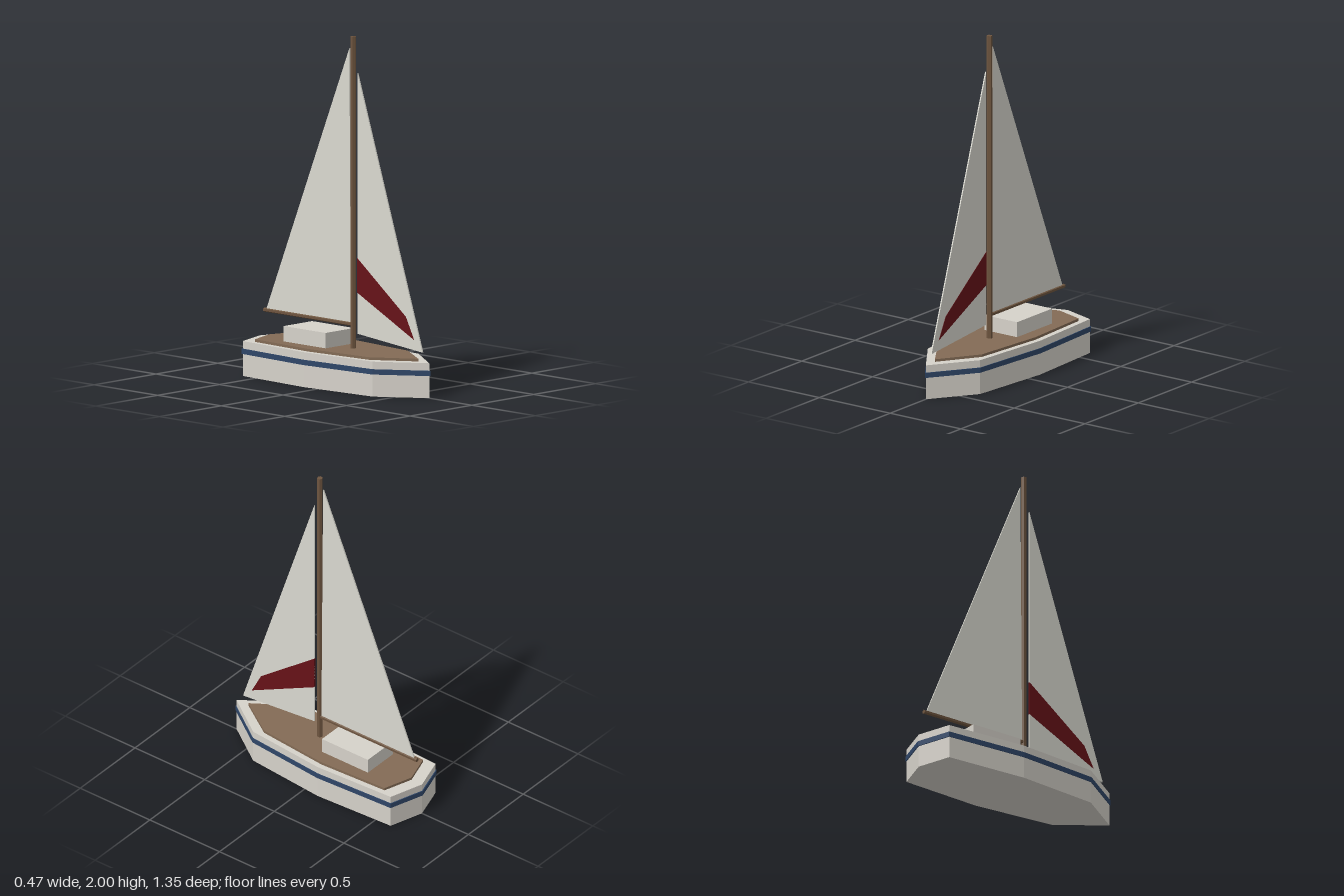
import * as THREE from 'three';

const material = (color) => new THREE.MeshStandardMaterial({ color, flatShading: true });
const hullWhite = material(0xd6d2ca);
const navy = material(0x2f4668);
const deckBrown = material(0x836b55);
const sparBrown = material(0x6e553f);
const sailWhite = material(0xdad9d0);
const darkRed = material(0x661218);

const polygon = (points) => new THREE.Shape(points.map(([a, b]) => new THREE.Vector2(a, b)));
const extrude = (points, depth) =>
  new THREE.ExtrudeGeometry(polygon(points), { depth, bevelEnabled: false });

// Horizontal slab from a mirrored half outline of [x, z], bow first and stern last
function slab(half, bottom, top) {
  const mirrored = half.slice(1, -1).reverse().map(([x, z]) => [-x, z]);
  const outline = [...half, ...mirrored].map(([x, z]) => [x, -z]);
  return extrude(outline, top - bottom).rotateX(-Math.PI / 2).translate(0, bottom, 0);
}

// Upright sheet from [z, y] points, centred on x = 0
function sheet(points, thickness) {
  return extrude(points, thickness).rotateY(-Math.PI / 2).translate(thickness / 2, 0, 0);
}

export function createModel() {
  const group = new THREE.Group();
  const add = (name, geometry, mat) => {
    const mesh = new THREE.Mesh(geometry, mat);
    mesh.name = name;
    group.add(mesh);
    return mesh;
  };

  // Hull, stripe and deck
  const hull = [[0, 0.665], [0.185, 0.4], [0.231, -0.1], [0.205, -0.603], [0, -0.667]];
  const stripe = [[0, 0.673], [0.189, 0.402], [0.236, -0.1], [0.21, -0.607], [0, -0.673]];
  const deck = [[0, 0.58], [0.155, 0.345], [0.198, -0.1], [0.176, -0.536], [0, -0.592]];
  add('hull', slab(hull, 0, 0.2), hullWhite);
  add('hullStripe', slab(stripe, 0.127, 0.157), navy);
  add('deck', slab(deck, 0.195, 0.215), deckBrown);

  // Cabin
  add('cabin', new THREE.BoxGeometry(0.23, 0.1, 0.33), hullWhite).position.set(0, 0.253, -0.204);

  // Mast and boom
  add('mast', new THREE.CylinderGeometry(0.0165, 0.0165, 1.79, 6), sparBrown)
    .position.set(0, 1.105, 0.066);
  const boom = add('boom', new THREE.CylinderGeometry(0.0125, 0.0125, 0.69, 6), sparBrown);
  boom.rotation.x = Math.PI / 2;
  boom.position.set(0, 0.352, -0.287);

  // Sails and the coloured panel on the jib
  add('mainsail', sheet([[0.04, 1.93], [-0.615, 0.355], [0.052, 0.355]], 0.008), sailWhite);
  add('jib', sheet([[0.103, 1.795], [0.103, 0.302], [0.615, 0.255]], 0.008), sailWhite);
  add('jibPanel', sheet([[0.103, 0.735], [0.103, 0.538], [0.55, 0.32], [0.485, 0.445]], 0.012), darkRed);

  return group;
}
